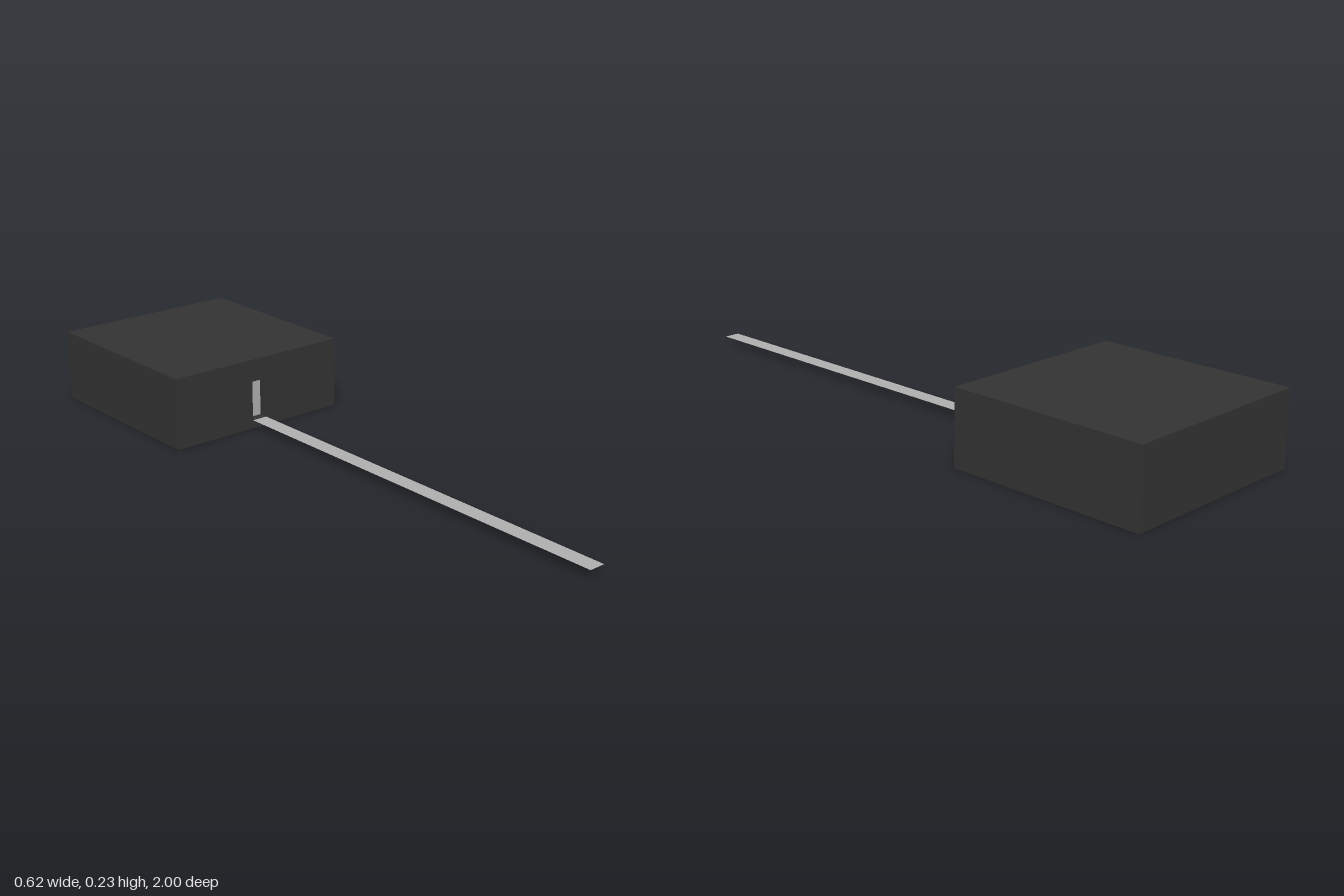
import * as THREE from 'three';

const HALF = 0.31, HEIGHT = 0.227, BACK = -1, FRONT = -0.38, DEPTH = 0.03;
const SLOT = { half: 0.026, bottom: 0.027, top: 0.155 };

// Closed rectangle outline, corners in counter-clockwise order
function rectangle(PathType, half, bottom, top) {
  return new PathType([
    [-half, bottom], [half, bottom], [half, top], [-half, top],
  ].map(([x, y]) => new THREE.Vector2(x, y)));
}

export function createModel() {
  const model = new THREE.Group();
  const dark = new THREE.MeshStandardMaterial({ color: 0x333333 });
  const light = new THREE.MeshStandardMaterial({ color: 0xb0b0b0, side: THREE.DoubleSide });

  const add = (name, geometry, material, x, y, z) => {
    const mesh = new THREE.Mesh(geometry, material);
    mesh.name = name;
    mesh.position.set(x, y, z);
    model.add(mesh);
  };

  // Case: solid rear block and a front panel with the slot cut through it
  const blockDepth = FRONT - DEPTH - BACK;
  add('caseBlock', new THREE.BoxGeometry(HALF * 2, HEIGHT, blockDepth), dark,
    0, HEIGHT / 2, BACK + blockDepth / 2);

  const panel = rectangle(THREE.Shape, HALF, 0, HEIGHT);
  panel.holes.push(rectangle(THREE.Path, SLOT.half, SLOT.bottom, SLOT.top));
  add('caseFront', new THREE.ExtrudeGeometry(panel, { depth: DEPTH, bevelEnabled: false }), dark,
    0, 0, FRONT - DEPTH);

  // Upright plate at the back of the slot
  const slotHeight = SLOT.top - SLOT.bottom;
  add('slotPlate', new THREE.PlaneGeometry(SLOT.half * 2, slotHeight), light,
    0, SLOT.bottom + slotHeight / 2, FRONT - DEPTH + 0.001);

  // Long flat strip running out of the slot
  const length = 1 - FRONT;
  add('strip', new THREE.PlaneGeometry(SLOT.half * 2, length).rotateX(-Math.PI / 2), light,
    0, SLOT.bottom, FRONT + length / 2);

  return model;
}
